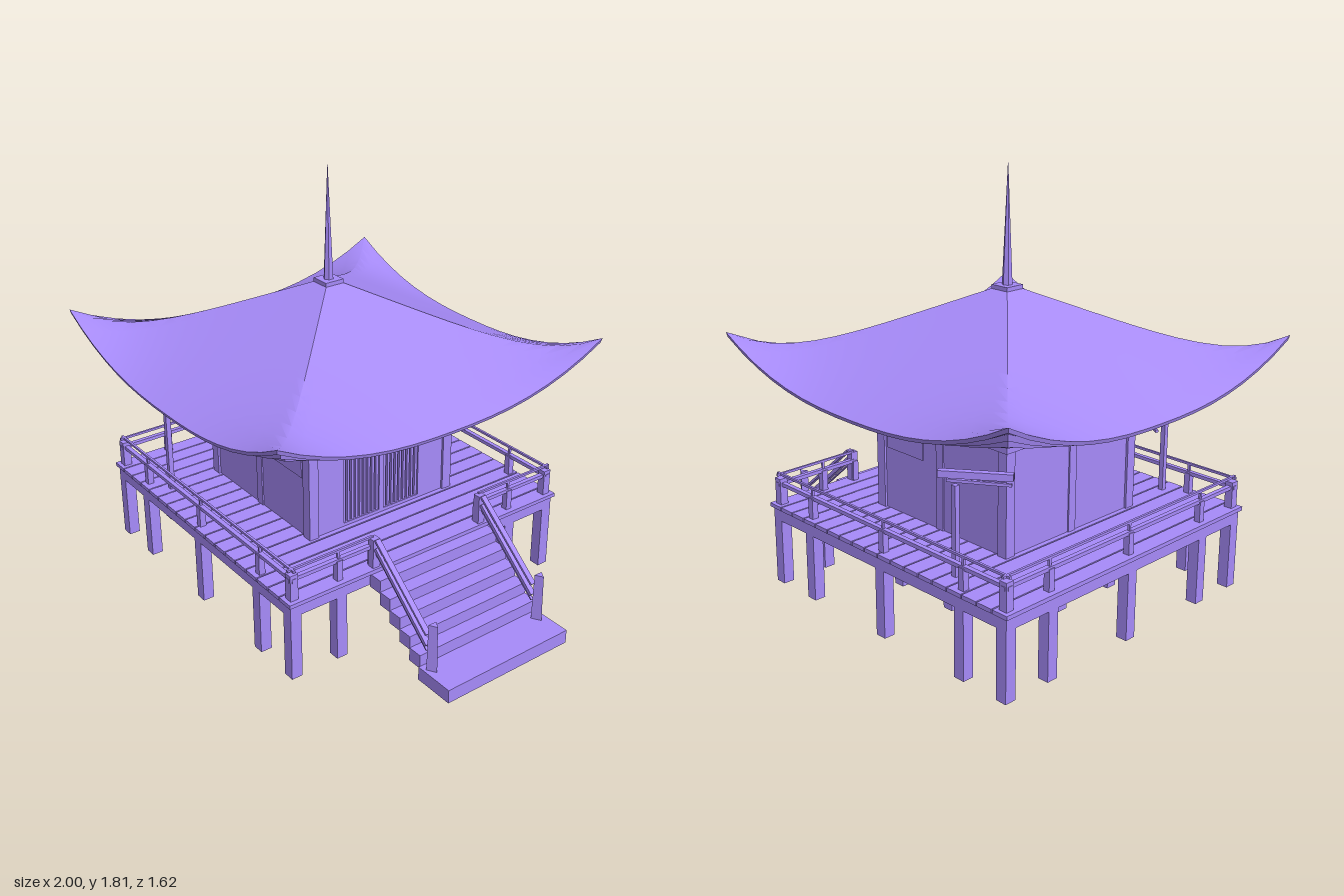
import * as THREE from 'three';
import { mergeGeometries, toCreasedNormals } from 'three/addons/utils/BufferGeometryUtils.js';

const material = new THREE.MeshStandardMaterial({ color: 0xa78bfa, side: THREE.DoubleSide });
const DECK = 0.37; // deck surface height

function add(parent, name, geometry, x = 0, y = 0, z = 0) {
  const mesh = new THREE.Mesh(geometry, material);
  mesh.name = name;
  mesh.position.set(x, y, z);
  parent.add(mesh);
  return mesh;
}

// Box given by its min and max on each axis
function box(parent, name, [x0, x1], [y0, y1], [z0, z1]) {
  return add(parent, name, new THREE.BoxGeometry(x1 - x0, y1 - y0, z1 - z0),
    (x0 + x1) / 2, (y0 + y1) / 2, (z0 + z1) / 2);
}

// Upright square post
function post(parent, name, x, z, y0, y1, w) {
  return box(parent, name, [x - w / 2, x + w / 2], [y0, y1], [z - w / 2, z + w / 2]);
}

// Square bar between two points
function bar(parent, name, a, b, w, d = w) {
  const from = new THREE.Vector3(...a), to = new THREE.Vector3(...b);
  const mesh = add(parent, name, new THREE.BoxGeometry(w, d, from.distanceTo(to)));
  mesh.position.copy(from).lerp(to, 0.5);
  mesh.lookAt(to);
  return mesh;
}

// One roof side swept from apex to eave, then back under the stepped eave layers
function roofSide() {
  const N = 16, rows = [];
  const lift = r => 0.18 * Math.pow(Math.max(0, (r - 0.04) / 0.77), 5);
  for (let i = 0; i <= 12; i++) {
    const u = i / 12, r = 0.04 + 0.77 * u;
    rows.push([r, 1.31 - 0.37 * u]);
  }
  rows.push([0.805, 0.925], [0.77, 0.94], [0.765, 0.918], [0.72, 0.935], [0.715, 0.91],
    [0.665, 0.925], [0.66, 0.91], [0.62, 0.93], [0.34, 0.98]);
  const pos = [], index = [];
  for (const [r, y] of rows)
    for (let j = 0; j <= N; j++) {
      const s = -1 + 2 * j / N;
      pos.push(r * s, y + lift(r) * Math.pow(Math.abs(s), 2.5), r);
    }
  for (let i = 0; i < rows.length - 1; i++)
    for (let j = 0; j < N; j++) {
      const a = i * (N + 1) + j, b = a + N + 1;
      index.push(a, b, b + 1, a, b + 1, a + 1);
    }
  const g = new THREE.BufferGeometry();
  g.setAttribute('position', new THREE.Float32BufferAttribute(pos, 3));
  g.setIndex(index);
  return g;
}

function buildRoof(parent) {
  const sides = [0, 1, 2, 3].map(k => roofSide().rotateY(k * Math.PI / 2));
  add(parent, 'roof', toCreasedNormals(mergeGeometries(sides).toNonIndexed(), 0.6));
  box(parent, 'finialBase', [-0.045, 0.045], [1.295, 1.325], [-0.045, 0.045]);
  const spike = new THREE.CylinderGeometry(0.001, 0.022, 0.485, 6).toNonIndexed();
  spike.computeVertexNormals();
  add(parent, 'finialSpike', spike, 0, 1.5675, 0);
}

function buildHall(parent) {
  // Three plain walls and the entrance wall with its door opening
  box(parent, 'backWall', [-0.37, -0.34], [DECK, 0.98], [-0.37, 0.37]);
  for (const s of [-1, 1]) {
    const inner = s * 0.34, outer = s * 0.37;
    box(parent, 'sideWall', [-0.37, 0.34], [DECK, 0.98], [Math.min(inner, outer), Math.max(inner, outer)]);
  }
  const wall = new THREE.Shape([[-0.37, DECK], [0.37, DECK], [0.37, 0.98], [-0.37, 0.98]].map(p => new THREE.Vector2(...p)));
  wall.holes.push(new THREE.Path([[-0.2, 0.385], [-0.2, 0.76], [0.2, 0.76], [0.2, 0.385]].map(p => new THREE.Vector2(...p))));
  add(parent, 'entranceWall', new THREE.ExtrudeGeometry(wall, { depth: 0.03, bevelEnabled: false }), 0.34).rotation.y = Math.PI / 2;

  // Slatted double door
  for (const s of [-1, 1]) {
    for (let i = 0; i < 9; i++) {
      const z = s * (0.02 + i * 0.0215);
      box(parent, 'doorSlat', [0.35, 0.365], [0.385, 0.76], [z - 0.006, z + 0.006]);
    }
    box(parent, 'doorStile', [0.345, 0.37], [0.385, 0.76], [s * 0.006 - 0.006, s * 0.006 + 0.006]);
  }

  // Wall band, corner and middle posts, brackets
  for (let k = 0; k < 4; k++) {
    const side = new THREE.Group();
    side.name = 'wallTimbers';
    side.rotation.y = k * Math.PI / 2;
    parent.add(side);
    box(side, 'wallBand', [-0.385, 0.385], [0.8, 0.83], [0.36, 0.385]);
    post(side, 'cornerPost', 0.357, 0.357, DECK, 0.89, 0.046);
    add(side, 'bracket', new THREE.CylinderGeometry(0.045, 0.025, 0.03, 8), 0.355, 0.9, 0.355);
    box(side, 'bracketBlock', [0.315, 0.395], [0.915, 0.96], [0.315, 0.395]);
    if (k !== 1) box(side, 'middlePost', [-0.02, 0.02], [DECK, 0.93], [0.36, 0.376]);
    else for (const s of [-1, 1])
      bar(side, 'strut', [s * 0.085, 0.865, 0.375], [s * 0.06, 0.93, 0.375], 0.012);
  }

  for (const s of [-1, 1]) {
    // Framed window on each side wall
    const z = s * 0.372;
    box(parent, 'windowPanel', [0.1, 0.32], [0.64, 0.76], [z - 0.004, z + 0.004]);
    // Screen frame projecting over the deck
    bar(parent, 'screenTop', [-0.35, 0.745, s * 0.37], [-0.35, 0.745, s * 0.655], 0.028);
    bar(parent, 'screenRail', [-0.35, 0.71, s * 0.37], [-0.35, 0.71, s * 0.62], 0.012);
    post(parent, 'screenPost', -0.35, s * 0.615, DECK, 0.735, 0.022);
  }
}

function buildPlatform(parent) {
  // Planks run front to back with narrow gaps
  const count = 18, pitch = 1.42 / count;
  for (let i = 0; i < count; i++) {
    const x = -0.71 + i * pitch;
    box(parent, 'deckPlank', [x + 0.003, x + pitch - 0.003], [0.353, DECK], [-0.705, 0.705]);
  }
  for (let k = 0; k < 4; k++) {
    const side = new THREE.Group();
    side.name = 'platformSide';
    side.rotation.y = k * Math.PI / 2;
    parent.add(side);
    box(side, 'edgeBeam', [-0.695, 0.695], [0.3, 0.353], [0.65, 0.695]);
    for (const x of [-0.45, 0, 0.45, 0.67]) post(side, 'deckLeg', x, 0.67, 0.01, 0.31, 0.05);
    // Foundation walls, open underneath
    box(side, 'foundationWall', [-0.31, 0.31], [0.03, 0.353], [0.295, 0.31]);
    for (const x of [0, 0.31]) post(side, 'foundationPost', x, 0.31, 0, 0.353, 0.05);

    // Railing, left open at the stairs
    post(side, 'railCornerPost', 0.67, 0.67, DECK, 0.485, 0.036);
    const runs = k === 1 ? [[-0.69, -0.28], [0.28, 0.69]] : [[-0.69, 0.69]];
    for (const [a, b] of runs) {
      box(side, 'topRail', [a, b], [0.496, 0.506], [0.665, 0.675]);
      box(side, 'middleRail', [a, b], [0.452, 0.468], [0.66, 0.68]);
    }
    const posts = k === 1 ? [-0.45, -0.28, 0.28, 0.45] : [-0.45, 0, 0.45];
    for (const x of posts) {
      post(side, 'railPost', x, 0.67, DECK, 0.46, 0.028);
      post(side, 'railStub', x, 0.67, 0.46, 0.5, 0.01);
    }
  }
}

function buildStairs(parent) {
  for (let i = 0; i < 5; i++) {
    const x = 0.505 + i * 0.063, top = 0.35 - i * 0.052;
    box(parent, 'stairStep', [x, x + 0.065], [top - 0.06, top], [-0.31, 0.31]);
  }
  box(parent, 'stairLanding', [0.82, 1], [0.03, 0.09], [-0.315, 0.315]);
  for (const s of [-1, 1]) {
    const z = s * 0.28;
    bar(parent, 'stairTopRail', [0.51, 0.5, z], [0.83, 0.235, z], 0.024, 0.01);
    bar(parent, 'stairMiddleRail', [0.51, 0.46, z], [0.83, 0.185, z], 0.024, 0.016);
    bar(parent, 'stairLowRail', [0.51, 0.435, z], [0.83, 0.16, z], 0.012, 0.006);
    post(parent, 'upperStairPost', 0.49, z, 0.3, 0.5, 0.034);
    const newel = new THREE.CylinderGeometry(0.022, 0.026, 0.21, 3).toNonIndexed();
    newel.computeVertexNormals();
    add(parent, 'lowerStairPost', newel, 0.865, 0.195, z).rotation.y = Math.PI / 2;
  }
}

export function createModel() {
  const model = new THREE.Group();
  model.name = 'pavilion';
  const building = new THREE.Group();
  building.name = 'building';
  building.position.x = -0.19;
  model.add(building);
  buildRoof(building);
  buildHall(building);
  buildPlatform(building);
  const stairs = new THREE.Group();
  stairs.name = 'stairs';
  model.add(stairs);
  buildStairs(stairs);
  return model;
}
